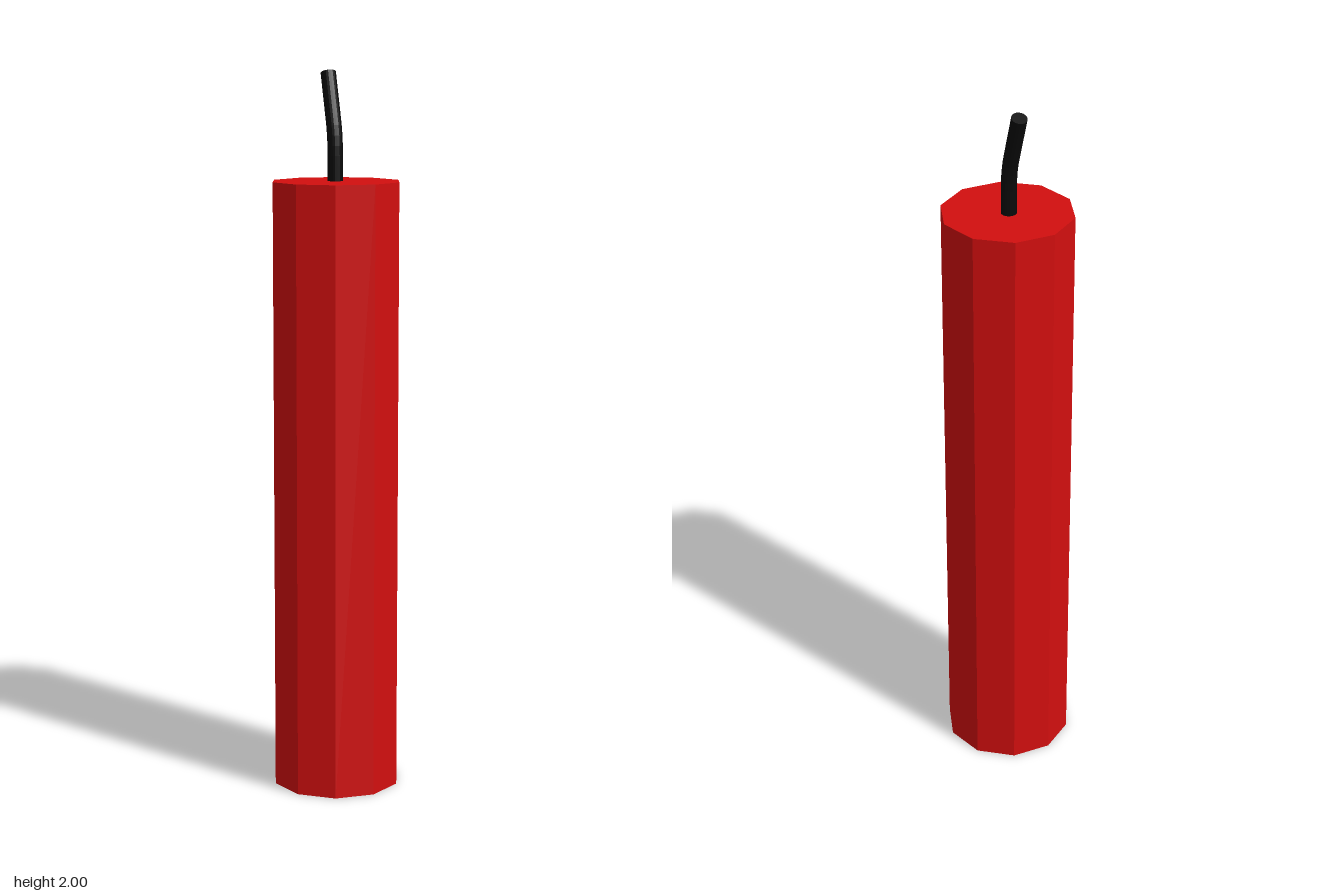
import * as THREE from 'three';

export function createModel() {
  const group = new THREE.Group();
  const add = (name, geometry, color) => {
    const mesh = new THREE.Mesh(geometry, new THREE.MeshStandardMaterial({ color, flatShading: true }));
    mesh.name = name;
    group.add(mesh);
    return mesh;
  };

  // Ten-sided stick, corners on the x axis
  const stick = new THREE.CylinderGeometry(0.18, 0.18, 1.7, 10, 1, false, Math.PI / 2);
  add('stick', stick, 0xd20f0f).position.y = 0.85;

  // Fuse: straight up, a soft bend, then leaning towards the back
  const p = (y, z) => new THREE.Vector3(0, y, z);
  const path = new THREE.CurvePath();
  path.add(new THREE.LineCurve3(p(1.69, -0.008), p(1.77, -0.008)));
  path.add(new THREE.QuadraticBezierCurve3(p(1.77, -0.008), p(1.82, -0.008), p(1.86, -0.023)));
  path.add(new THREE.LineCurve3(p(1.86, -0.023), p(1.992, -0.072)));

  const section = new THREE.Shape();
  section.absarc(0, 0, 0.021, 0, Math.PI * 2, false);
  const fuse = new THREE.ExtrudeGeometry(section, {
    extrudePath: path, steps: 12, curveSegments: 10, bevelEnabled: false,
  });
  add('fuse', fuse, 0x0a0a0a);

  return group;
}
